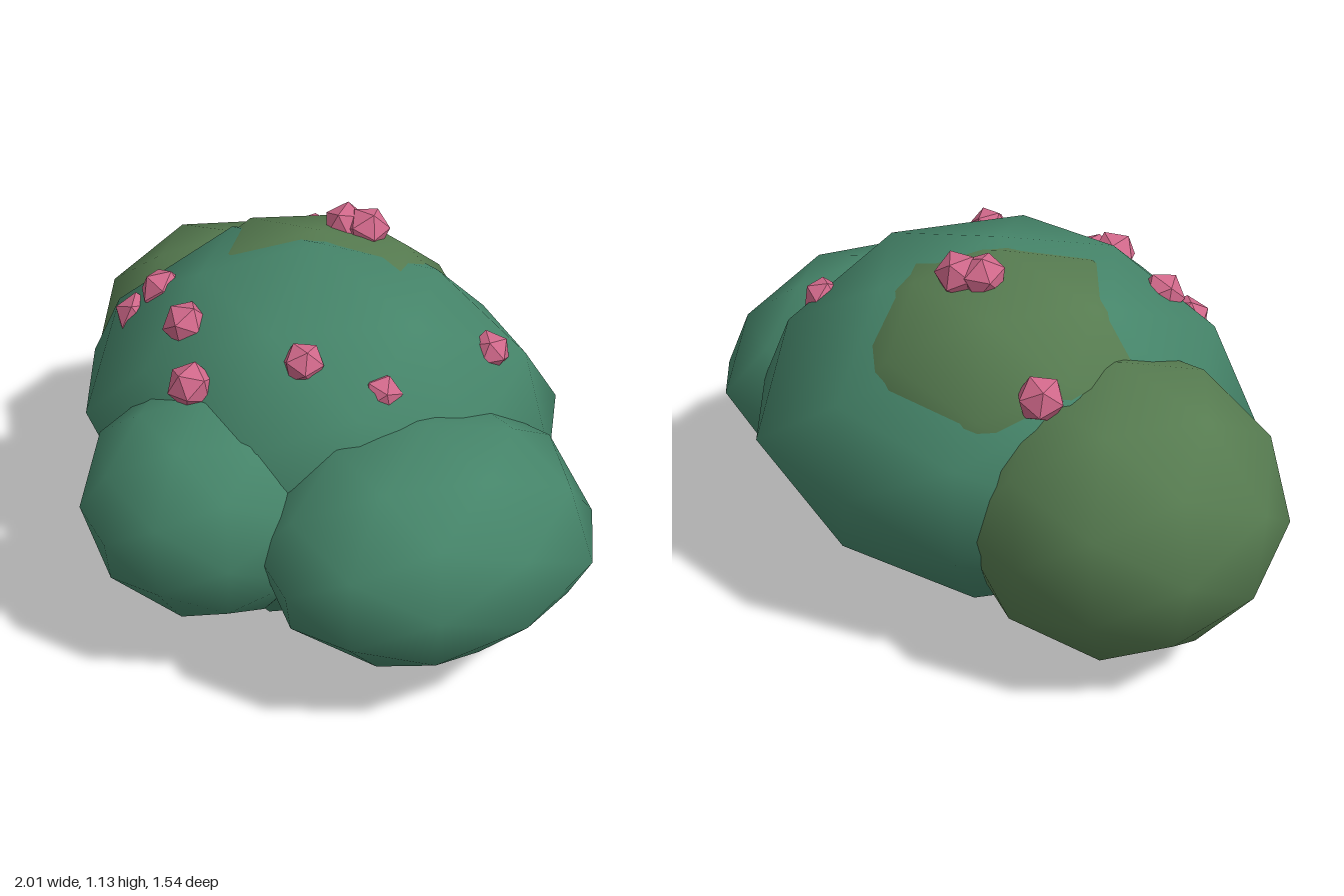
import * as THREE from 'three';

const material = (name, color, flatShading = false) => {
  const m = new THREE.MeshStandardMaterial({ color, flatShading });
  m.name = name;
  return m;
};

export function createModel() {
  const group = new THREE.Group();
  const teal = material('teal leaves', 0x458469);
  const olive = material('olive leaves', 0x567b50);
  const pink = material('pink blossom', 0xd0688a, true);

  // Icosphere turned so one corner faces front and a ten-sided ring faces sideways
  const turned = (radius, detail) =>
    new THREE.IcosahedronGeometry(radius, detail)
      .rotateX(Math.atan(2 / (1 + Math.sqrt(5))))
      .rotateZ(-Math.PI / 10);

  // Rounded foliage clumps: stretched icospheres; each pull moves the
  // corners lying near a direction by an offset
  const clump = (name, mat, [x, y, z], size, pulls = []) => {
    const g = turned(1, 1);
    const pos = g.attributes.position;
    const scale = new THREE.Vector3(...size);
    for (let i = 0; i < pos.count; i++) {
      const dir = new THREE.Vector3().fromBufferAttribute(pos, i);
      const p = dir.clone().multiply(scale);
      for (const [toward, offset] of pulls) {
        const near = Math.max(0, dir.dot(new THREE.Vector3(...toward).normalize()));
        p.addScaledVector(new THREE.Vector3(...offset), near ** 6);
      }
      pos.setXYZ(i, p.x, p.y, p.z);
    }
    // Fit the smooth normals to the stretched shape
    const nor = g.attributes.normal;
    for (let i = 0; i < nor.count; i++) {
      const n = new THREE.Vector3().fromBufferAttribute(nor, i).divide(scale).normalize();
      nor.setXYZ(i, n.x, n.y, n.z);
    }
    const mesh = new THREE.Mesh(g, mat);
    mesh.name = name;
    mesh.position.set(x, y, z);
    group.add(mesh);
  };
  clump('mainFoliage', teal, [0, 0.545, -0.11], [0.695, 0.54, 0.655], [
    [[0.65, 0, -0.75], [0.06, 0, -0.04]],
    [[0, 0.55, -0.85], [0, -0.09, 0]],
    [[-0.85, 0, 0.5], [-0.08, 0, 0.04]],
    [[0.4, -0.8, 0.4], [0.03, -0.06, 0.03]],
  ]);
  clump('frontFoliage', teal, [0.1, 0.465, 0.375], [0.384, 0.345, 0.39]);
  clump('leftFoliage', teal, [0.6, 0.45, 0.02], [0.418, 0.355, 0.505], [
    [[0.85, -0.1, -0.5], [0.02, -0.03, -0.06]],
  ]);
  clump('rightFoliage', olive, [-0.515, 0.45, -0.215], [0.475, 0.44, 0.465], [
    [[-0.95, 0.31, 0], [-0.035, 0, 0]],
  ]);
  clump('topFoliage', olive, [-0.07, 0.65, -0.17], [0.55, 0.43, 0.48]);

  // Faceted blossoms sunk into the foliage: x, y, z, radius
  const blossoms = [
    [-0.355, 0.89, 0.2, 0.07], [-0.405, 0.805, 0.26, 0.07],
    [-0.11, 0.915, 0.3, 0.07], [0.05, 0.825, 0.41, 0.07],
    [0.29, 0.925, 0.2, 0.062], [0.46, 0.85, 0.06, 0.06],
    [0.47, 0.84, -0.35, 0.062], [-0.42, 0.845, -0.45, 0.07],
    [-0.09, 1.05, -0.29, 0.07], [-0.03, 1.05, -0.32, 0.07],
  ];
  blossoms.forEach(([x, y, z, r], i) => {
    const mesh = new THREE.Mesh(turned(r, 0), pink);
    mesh.name = `blossom${i + 1}`;
    mesh.position.set(x, y, z);
    mesh.rotation.set(0.2, i * 1.3, 0);
    group.add(mesh);
  });
  return group;
}
